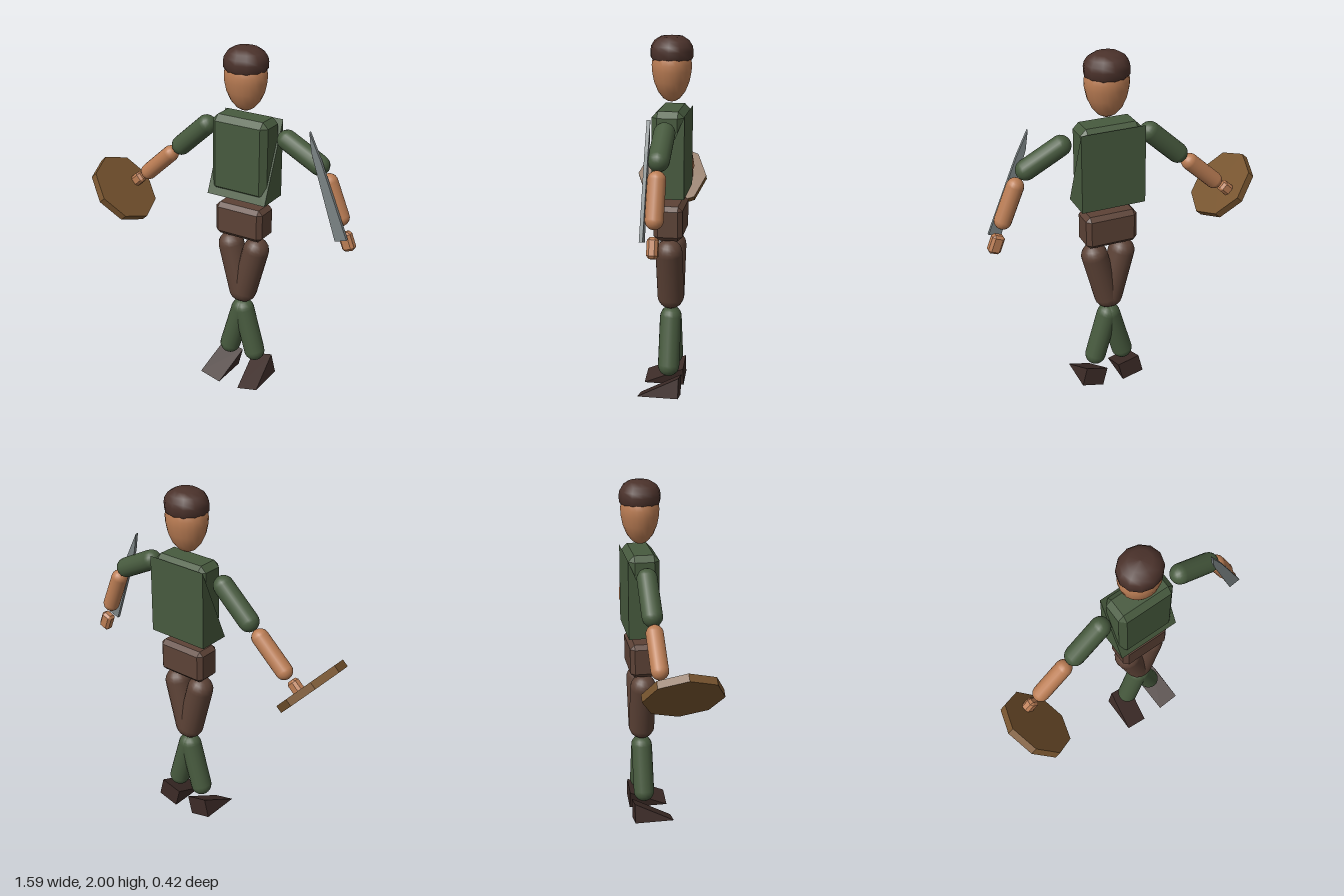
import * as THREE from 'three';
import { ConvexGeometry } from 'three/addons/geometries/ConvexGeometry.js';

const CX = 0.116, CZ = -0.1; // body axis

const mat = (color, flatShading = false) => new THREE.MeshStandardMaterial({ color, flatShading });
const skin = mat(0xbb7d54), skinFlat = mat(0xbb7d54, true);
const green = mat(0x475a3e), greenFlat = mat(0x475a3e, true);
const brown = mat(0x5c4236), brownFlat = mat(0x5c4236, true);
const capMat = mat(0x4b322b), shoeMat = mat(0x3c2b27, true);
const wood = mat(0x78552f, true), steel = mat(0x7b8384, true);

export function createModel() {
  const model = new THREE.Group();

  const add = (name, geometry, material, x = 0, y = 0, z = 0, rotZ = 0) => {
    const mesh = new THREE.Mesh(geometry, material);
    mesh.name = name;
    mesh.position.set(x, y, z);
    mesh.rotation.z = rotZ;
    model.add(mesh);
    return mesh;
  };

  // Capsule between two joint centres in the body plane
  const limb = (name, material, r, x1, y1, x2, y2) => {
    const dx = x2 - x1, dy = y2 - y1;
    const geometry = new THREE.CapsuleGeometry(r, Math.hypot(dx, dy), 6, 16);
    return add(name, geometry, material, (x1 + x2) / 2, (y1 + y2) / 2, CZ, Math.atan2(-dx, dy));
  };

  // Box with all edges cut by c
  const chamferBox = (w, h, d, c) => {
    const half = [w / 2, h / 2, d / 2], pts = [];
    for (const sx of [-1, 1]) for (const sy of [-1, 1]) for (const sz of [-1, 1])
      for (let full = 0; full < 3; full++) {
        const v = half.map((s, i) => (i === full ? s : s - c));
        pts.push(new THREE.Vector3(v[0] * sx, v[1] * sy, v[2] * sz));
      }
    return new ConvexGeometry(pts);
  };

  // Wedge: upright back, sloping front
  const wedge = (w, h, d) => {
    const pts = [];
    for (const x of [-w / 2, w / 2])
      for (const [y, z] of [[-h / 2, -d / 2], [h / 2, -d / 2], [-h / 2, d / 2]])
        pts.push(new THREE.Vector3(x, y, z));
    return new ConvexGeometry(pts);
  };

  const lathe = (profile, segments) =>
    new THREE.LatheGeometry(profile.map(([r, y]) => new THREE.Vector2(r, y)), segments);

  // Head and cap, slightly narrower in depth
  const head = add('head', lathe([[0, 1.655], [0.025, 1.658], [0.05, 1.672], [0.082, 1.708], [0.106, 1.76],
    [0.118, 1.815], [0.12, 1.85], [0.114, 1.89], [0.09, 1.93], [0, 1.955]], 20), skin, CX, 0, CZ);
  head.scale.z = 0.88;
  const cap = add('cap', lathe([[0, 1.865], [0.108, 1.867], [0.121, 1.885], [0.123, 1.92], [0.118, 1.945],
    [0.1, 1.972], [0.065, 1.993], [0, 2]], 12), capMat, CX, 0, CZ);
  cap.scale.z = 0.92;

  // Torso and hips
  add('chest', chamferBox(0.34, 0.44, 0.17, 0.032), greenFlat, CX, 1.403, CZ);
  add('tunic', wedge(0.36, 0.44, 0.185), greenFlat, CX, 1.387, -0.0985);
  add('hips', chamferBox(0.294, 0.19, 0.155, 0.024), brownFlat, CX, 1.018, CZ);

  // Legs
  for (const s of [-1, 1]) {
    const side = s > 0 ? 'left' : 'right';
    limb(side + 'Thigh', brown, 0.074, CX + s * 0.08, 0.843, CX + s * 0.008, 0.573);
    limb(side + 'Shin', green, 0.06, CX + s * 0.008, 0.443, CX + s * 0.082, 0.185);
    add(side + 'Shoe', wedge(0.13, 0.114, 0.226), shoeMat, CX + s * 0.112, 0.072, -0.053, s * 0.245);
  }

  // Right arm
  limb('rightUpperArm', green, 0.056, -0.129, 1.525, -0.296, 1.372);
  limb('rightForearm', skin, 0.047, -0.372, 1.305, -0.528, 1.162);
  add('rightHand', chamferBox(0.065, 0.1, 0.055, 0.014), skinFlat, -0.613, 1.092, CZ, -0.83);

  // Left arm
  limb('leftUpperArm', green, 0.056, 0.374, 1.533, 0.565, 1.434);
  limb('leftForearm', skin, 0.047, 0.627, 1.352, 0.702, 1.17);
  add('leftHand', chamferBox(0.07, 0.105, 0.055, 0.014), skinFlat, 0.747, 1.043, CZ, 0.37);

  // Eight-sided shield
  add('shield', new THREE.CylinderGeometry(0.21, 0.21, 0.043, 8), wood, -0.638, 1.066, 0, -0.829);

  // Flat pointed blade
  const blade = new THREE.Shape([[0.53, 1.628], [0.546, 1.52], [0.704, 1.056], [0.77, 1.077], [0.6, 1.486]]
    .map(([x, y]) => new THREE.Vector2(x, y)));
  add('blade', new THREE.ExtrudeGeometry(blade, { depth: 0.018, bevelEnabled: false }), steel, 0, 0, -0.054);

  return model;
}
